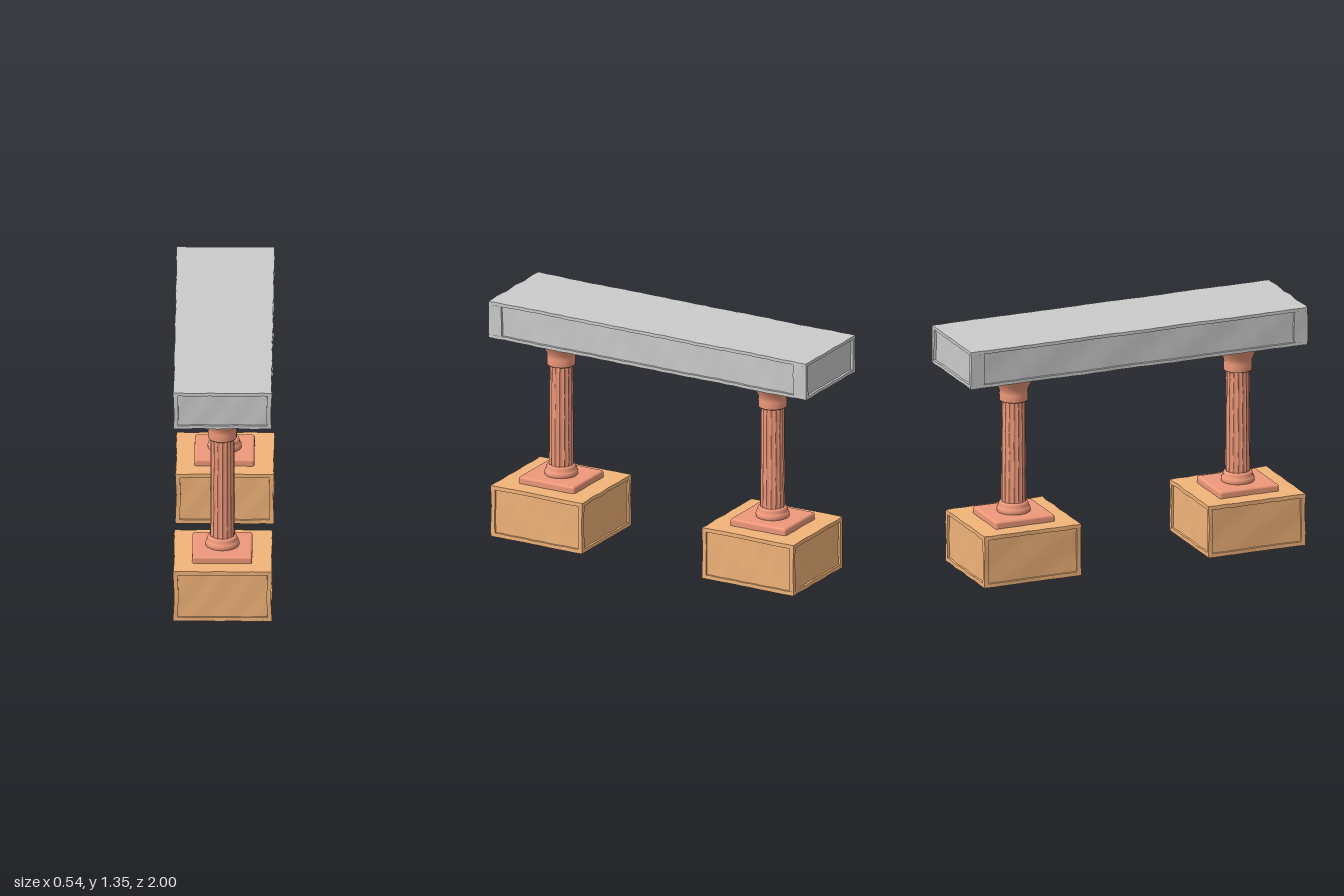
import * as THREE from 'three';
import { mergeGeometries } from 'three/addons/utils/BufferGeometryUtils.js';
import { RoundedBoxGeometry } from 'three/addons/geometries/RoundedBoxGeometry.js';

const stone = new THREE.MeshStandardMaterial({ color: 0xcccccc });
const sandstone = new THREE.MeshStandardMaterial({ color: 0xf2b47a });
const terracotta = new THREE.MeshStandardMaterial({ color: 0xee987a });

function mesh(name, geometry, material) {
  const m = new THREE.Mesh(geometry, material);
  m.name = name;
  return m;
}

// Worn stone: a small smooth offset that depends only on position, so seams stay shut
function weather(geo, amount) {
  const p = geo.attributes.position;
  for (let i = 0; i < p.count; i++) {
    const x = p.getX(i), y = p.getY(i), z = p.getZ(i);
    const wave = (a, b, c, d) => Math.sin(a * x + b * z + d) * Math.cos(c * y + a * z - d);
    const lift = y > 0.02 ? 0.6 : 0;
    p.setXYZ(i,
      x + amount * wave(17, 31, 23, 1),
      y + amount * lift * wave(29, 19, 13, 2.4),
      z + amount * wave(37, 11, 27, 4));
  }
  geo.computeVertexNormals();
  return geo;
}

function block(w, h, d, x, y, z) {
  const n = (s) => Math.max(1, Math.round(s / 0.05));
  return new THREE.BoxGeometry(w, h, d, n(w), n(h), n(d)).translate(x, y, z);
}

// Block with a raised border around a sunken panel on each of its four sides
function panelledBlock(name, material, { w, h, d, y, z, rim, postX, postZ, depth }) {
  const parts = [
    block(w - 2 * depth, h - 2 * rim, d - 2 * depth, 0, y + h / 2, z),
    block(w, rim, d, 0, y + rim / 2, z),
    block(w, rim, d, 0, y + h - rim / 2, z),
  ];
  for (const sx of [-1, 1]) {
    for (const sz of [-1, 1]) {
      // L-shaped corner post, made of one leg per side
      parts.push(
        block(postX, h - 2 * rim, depth, sx * (w - postX) / 2, y + h / 2, z + sz * (d - depth) / 2),
        block(depth, h - 2 * rim, postZ - depth, sx * (w - depth) / 2, y + h / 2,
          z + sz * (d / 2 - (postZ + depth) / 2)));
    }
  }
  return mesh(name, weather(mergeGeometries(parts), 0.003), material);
}

// Shaft with scalloped flutes and a slight taper
function flutedShaft(bottom, top) {
  const flutes = 16;
  const geo = new THREE.CylinderGeometry(0.064, 0.068, top - bottom, flutes * 8, 10, true);
  const p = geo.attributes.position;
  for (let i = 0; i < p.count; i++) {
    const a = Math.atan2(p.getZ(i), p.getX(i));
    const k = 1 - 0.09 * Math.abs(Math.sin(a * flutes / 2)) ** 0.7;
    p.setXYZ(i, p.getX(i) * k, p.getY(i), p.getZ(i) * k);
  }
  geo.translate(0, (bottom + top) / 2, 0);
  return weather(geo, 0.0015);
}

function turned(profile) {
  return new THREE.LatheGeometry(profile.map(([r, y]) => new THREE.Vector2(r, y)), 48);
}

// Square slab whose underside is narrower from front to back
function abacus() {
  const geo = new THREE.BoxGeometry(0.295, 0.04, 0.35);
  const p = geo.attributes.position;
  for (let i = 0; i < p.count; i++) {
    if (p.getY(i) < 0) p.setZ(i, p.getZ(i) * 0.8);
  }
  geo.translate(0, 1.123, 0);
  geo.computeVertexNormals();
  return geo;
}

function column(name, z) {
  const g = new THREE.Group();
  g.name = name;
  g.position.set(-0.003, 0, z);

  const plinth = new RoundedBoxGeometry(0.325, 0.05, 0.35, 3, 0.014).translate(0, 0.306, 0);
  g.add(mesh('plinth', plinth, terracotta));

  // Two stacked rounded rings
  g.add(mesh('baseRings', turned([
    [0.085, 0.325], [0.091, 0.332], [0.092, 0.346], [0.088, 0.358], [0.081, 0.361],
    [0.081, 0.375], [0.077, 0.384], [0.07, 0.388], [0.05, 0.388],
  ]), terracotta));

  g.add(mesh('shaft', flutedShaft(0.38, 0.97), terracotta));

  // Neck ring flaring into a bell
  g.add(mesh('capital', turned([
    [0.05, 0.962], [0.075, 0.962], [0.078, 0.966], [0.078, 1.002], [0.076, 1.012],
    [0.08, 1.03], [0.09, 1.052], [0.104, 1.076], [0.119, 1.096], [0.124, 1.104],
    [0.124, 1.11],
  ]), terracotta));

  g.add(mesh('abacus', abacus(), terracotta));
  return g;
}

export function createModel() {
  const model = new THREE.Group();
  model.name = 'stoneLintelOnColumns';

  // Long beam across the top
  model.add(panelledBlock('beam', stone, {
    w: 0.53, h: 0.21, d: 1.99, y: 1.142, z: 0,
    rim: 0.018, postX: 0.024, postZ: 0.08, depth: 0.014,
  }));

  // Front and back supports
  for (const [side, z] of [['front', 0.695], ['back', -0.63]]) {
    model.add(panelledBlock(side + 'Pedestal', sandstone, {
      w: 0.53, h: 0.292, d: 0.57, y: 0, z,
      rim: 0.022, postX: 0.024, postZ: 0.024, depth: 0.012,
    }));
    model.add(column(side + 'Column', z));
  }
  return model;
}
